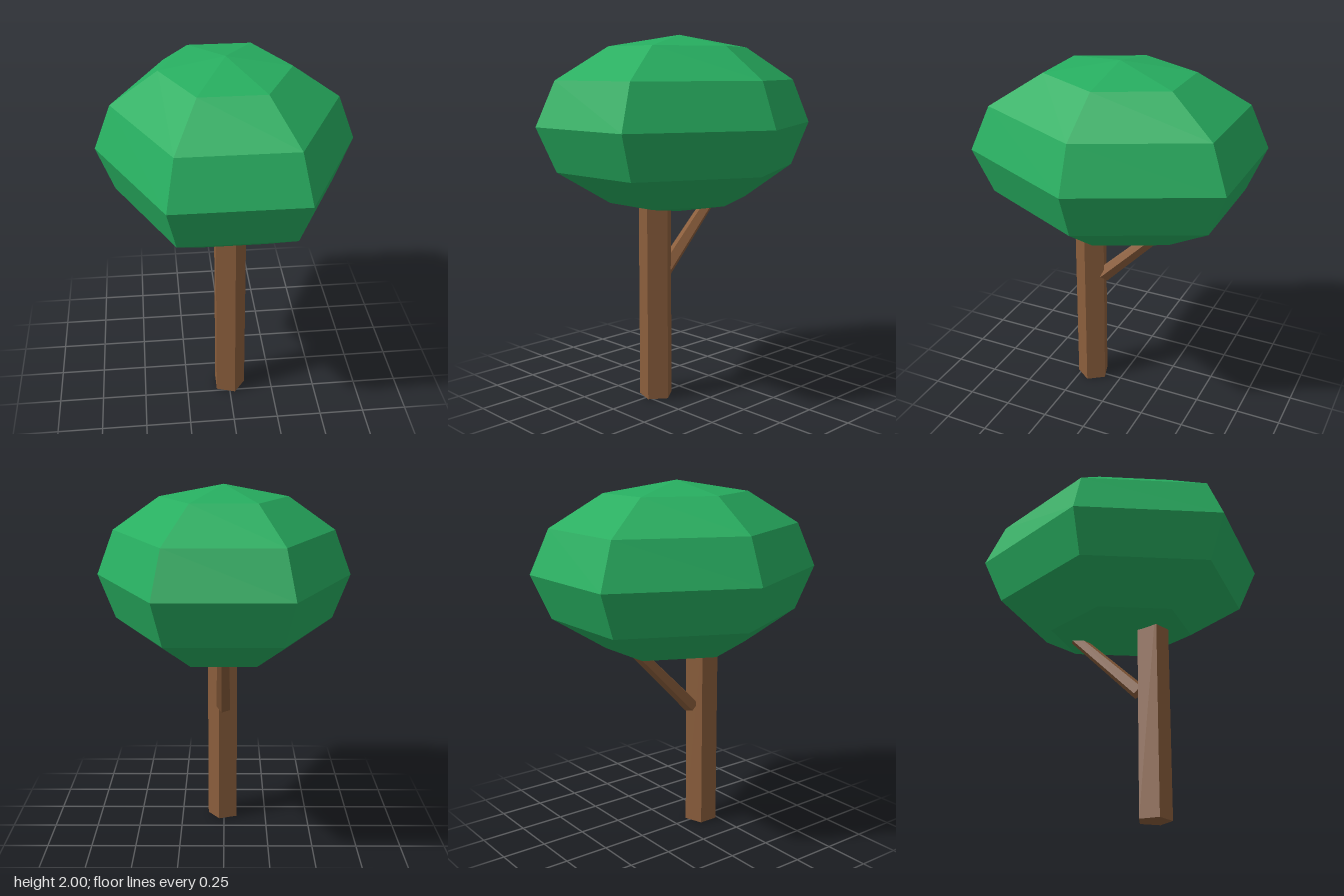
import * as THREE from 'three';

// Five-sided post standing on its origin, with one corner towards +x
function post(bottomRadius, topRadius, length) {
  return new THREE.CylinderGeometry(topRadius, bottomRadius, length, 5)
    .rotateY(Math.PI / 2)
    .translate(0, length / 2, 0);
}

export function createModel() {
  const group = new THREE.Group();
  const bark = new THREE.MeshStandardMaterial({ color: 0x8b5e3c, flatShading: true });
  const leaves = new THREE.MeshStandardMaterial({ color: 0x27ae60, flatShading: true });

  const add = (name, geometry, material, position) => {
    const mesh = new THREE.Mesh(geometry, material);
    mesh.name = name;
    mesh.position.set(...position);
    group.add(mesh);
    return mesh;
  };

  // Crown: low-poly ball, flattened in height and stretched front to back
  const crown = new THREE.SphereGeometry(1, 6, 6).scale(0.69, 0.485, 0.826);
  add('crown', crown, leaves, [0, 1.515, 0]);

  // Trunk: stands forward of the crown's centre and ends inside it
  add('trunk', post(0.094, 0.094, 1.2), bark, [0, 0, 0.18]);

  // Branch: leans backwards at 45 degrees from the trunk into the crown
  const branch = add('branch', post(0.045, 0.034, 0.62), bark, [0, 0.716, 0.106]);
  branch.rotation.x = -Math.PI / 4;

  return group;
}
